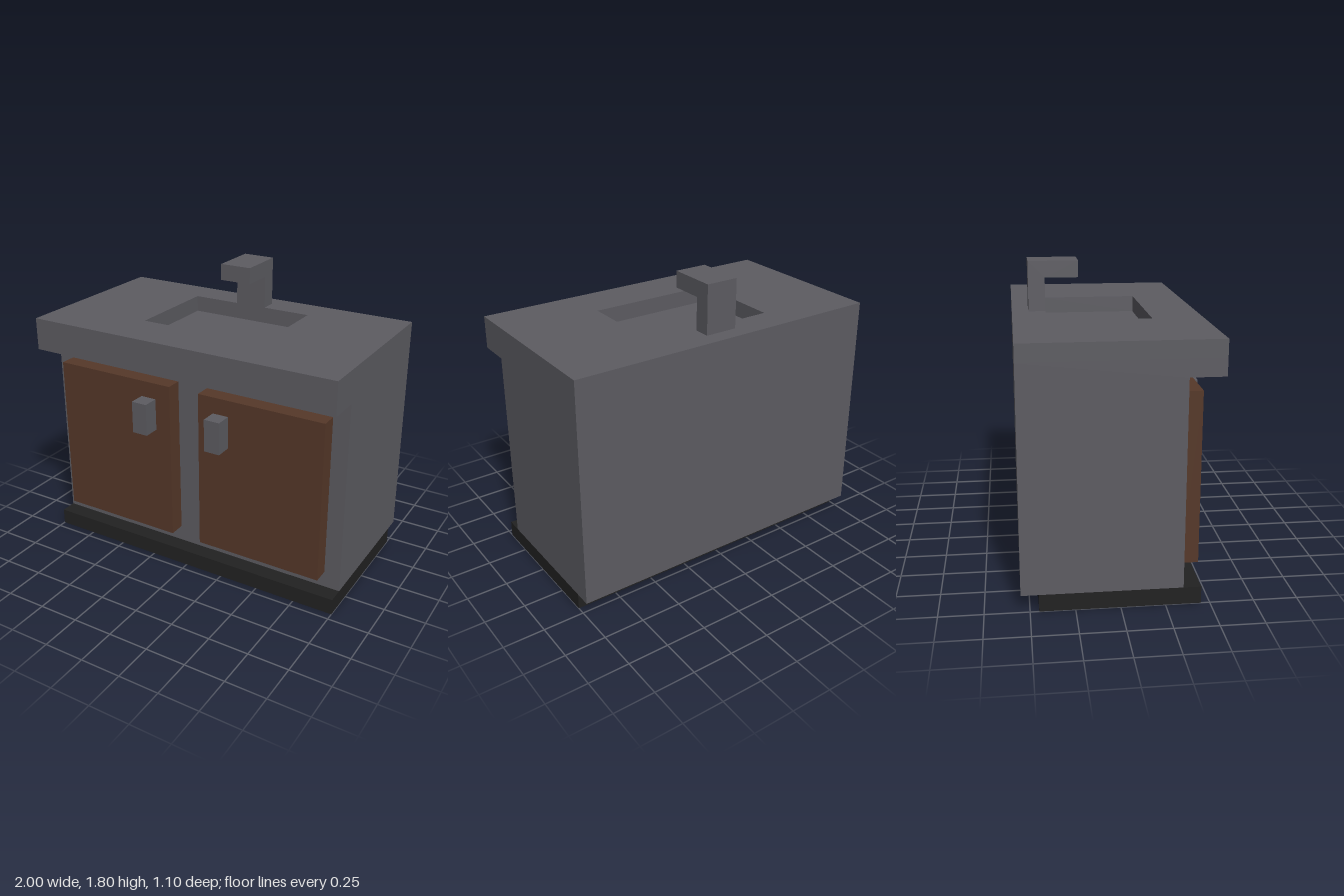
import * as THREE from 'three';

const material = (name, color) => {
  const m = new THREE.MeshStandardMaterial({ color });
  m.name = name;
  return m;
};

export function createModel() {
  const grey = material('stone grey', 0x5d5c62);
  const brown = material('dark wood', 0x563829);
  const black = material('plinth black', 0x222222);
  const model = new THREE.Group();
  model.name = 'sinkCabinet';

  const add = (name, geometry, mat) => {
    const mesh = new THREE.Mesh(geometry, mat);
    mesh.name = name;
    model.add(mesh);
  };

  // Box given by its lower and upper bounds
  const box = (name, mat, [x0, y0, z0], [x1, y1, z1]) => {
    const g = new THREE.BoxGeometry(x1 - x0, y1 - y0, z1 - z0);
    g.translate((x0 + x1) / 2, (y0 + y1) / 2, (z0 + z1) / 2);
    add(name, g, mat);
  };

  // Side profile of [z, y] points, extruded across x and centred
  const sideProfile = (name, mat, points, width) => {
    const shape = new THREE.Shape(points.map(([z, y]) => new THREE.Vector2(z, y)));
    const g = new THREE.ExtrudeGeometry(shape, { depth: width, bevelEnabled: false });
    g.translate(0, 0, -width / 2).rotateY(-Math.PI / 2);
    add(name, g, mat);
  };

  // Plinth
  box('plinth', black, [-1, 0, -0.45], [1, 0.1, 0.45]);

  // Cabinet with the lower half of the overhanging counter; its top is the basin floor
  sideProfile('cabinet', grey, [
    [-0.55, 0.1], [0.35, 0.1], [0.35, 1.3], [0.55, 1.3], [0.55, 1.4], [-0.55, 1.4],
  ], 2);

  // Upper half of the counter with the basin opening (shape y is -z)
  const rectangle = (Type, x, y0, y1) => new Type([
    [-x, y0], [x, y0], [x, y1], [-x, y1],
  ].map(([a, b]) => new THREE.Vector2(a, b)));
  const top = rectangle(THREE.Shape, 1, -0.55, 0.55);
  top.holes.push(rectangle(THREE.Path, 0.4, -0.25, 0.35));
  const counter = new THREE.ExtrudeGeometry(top, { depth: 0.1, bevelEnabled: false });
  counter.rotateX(-Math.PI / 2).translate(0, 1.4, 0);
  add('counterTop', counter, grey);

  // Faucet
  sideProfile('faucet', grey, [
    [-0.45, 1.5], [-0.35, 1.5], [-0.35, 1.7], [-0.15, 1.7], [-0.15, 1.8], [-0.45, 1.8],
  ], 0.2);

  // Doors and handles, mirrored
  for (const [side, s] of [['left', 1], ['right', -1]]) {
    const dx = s * 0.5, hx = s * 0.25;
    box(side + 'Door', brown, [dx - 0.4, 0.2, 0.35], [dx + 0.4, 1.2, 0.45]);
    box(side + 'Handle', grey, [hx - 0.05, 0.9, 0.45], [hx + 0.05, 1.1, 0.55]);
  }

  return model;
}
